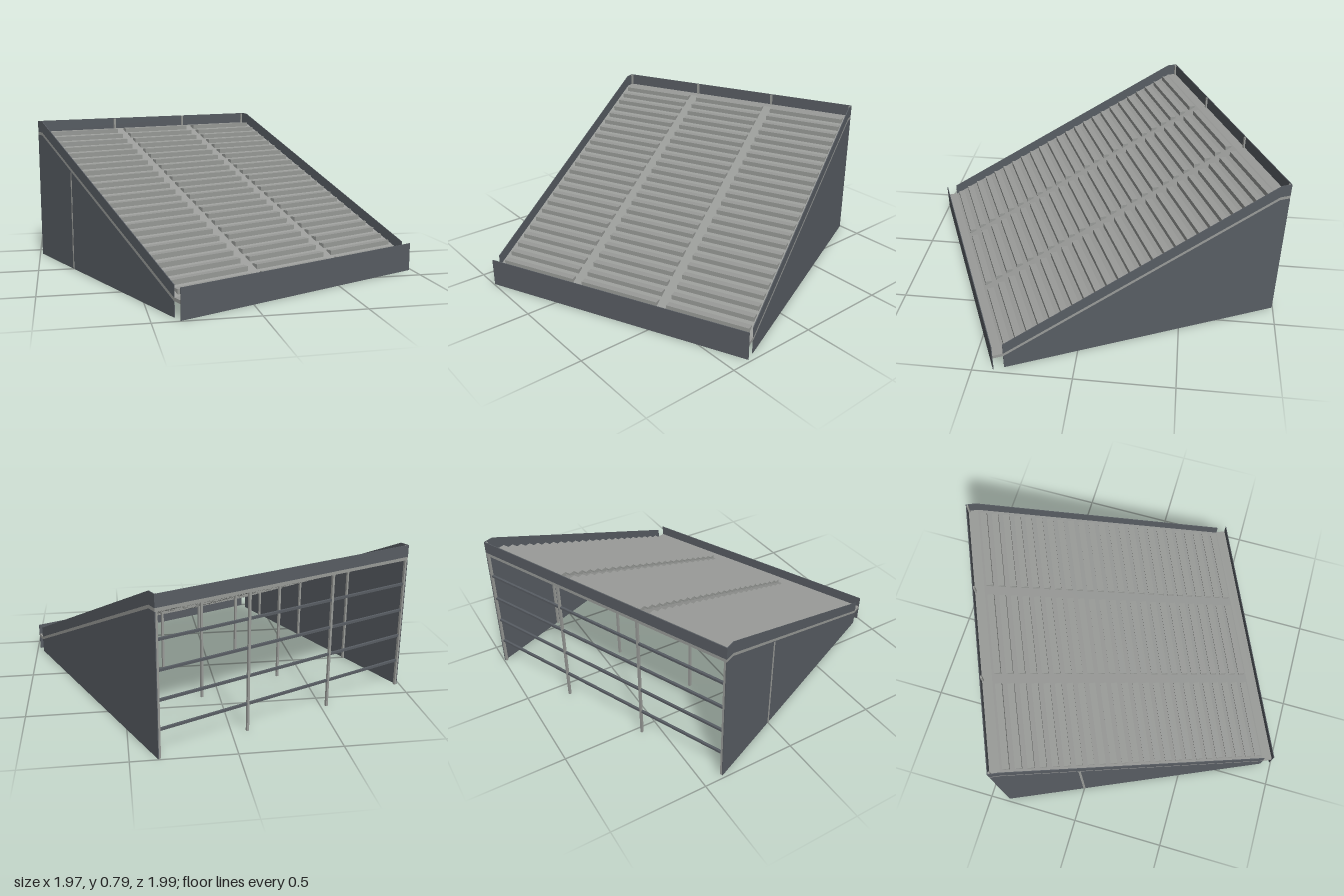
import * as THREE from 'three';

const W = 1.482, HALF = W / 2;     // width of the stand
const BACK = -0.761, FRONT = 0.761; // depth limits
const RAMP_B = -0.706, RAMP_F = 0.705; // sloped part of the deck
const LOW = 0.075, HIGH = 0.71;    // underside heights at the two ends of the slope
const SLAB = 0.017;
const AISLE = HALF / 3;            // aisles divide the width in three

const slopeY = z => LOW + (HIGH - LOW) * THREE.MathUtils.clamp((RAMP_F - z) / (RAMP_F - RAMP_B), 0, 1);

export function createModel() {
  const model = new THREE.Group();
  model.name = 'grandstand';
  const stand = new THREE.Group();
  stand.name = 'stand';
  stand.rotation.y = 0.417;
  model.add(stand);

  const mat = (name, color) => {
    const m = new THREE.MeshStandardMaterial({ color });
    m.name = name;
    return m;
  };
  const deckGrey = mat('deckGrey', 0x999b98);
  const panelGrey = mat('panelGrey', 0x585d63);

  const add = (name, geometry, material) => {
    const mesh = new THREE.Mesh(geometry, material);
    mesh.name = name;
    stand.add(mesh);
    return mesh;
  };
  const box = (name, w, h, d, x, y, z, material) =>
    add(name, new THREE.BoxGeometry(w, h, d), material).position.set(x, y, z);

  // side profile given as [z, y] points, extruded across x
  const profile = (name, points, width, x, material) => {
    const shape = new THREE.Shape(points.map(p => new THREE.Vector2(p[0], p[1])));
    const g = new THREE.ExtrudeGeometry(shape, { depth: width, bevelEnabled: false });
    g.rotateY(-Math.PI / 2);
    g.translate(x + width / 2, 0, 0);
    add(name, g, material);
  };

  // sloping deck with a flat landing at each end
  profile('deck', [
    [FRONT - 0.003, LOW], [FRONT - 0.003, LOW + SLAB], [RAMP_F, LOW + SLAB], [RAMP_B, HIGH + SLAB],
    [BACK, HIGH + SLAB], [BACK, HIGH], [RAMP_B, HIGH], [RAMP_F, LOW],
  ], W - 0.002, 0, deckGrey);

  // side walls and the parapets above them
  for (const s of [-1, 1]) {
    const x = s * (HALF - 0.002);
    profile('sideWall', [
      [RAMP_F, 0], [RAMP_F, LOW], [RAMP_B, HIGH], [BACK, HIGH], [BACK, 0],
    ], 0.004, x, panelGrey);
    profile('sideParapet', [
      [RAMP_F, LOW + SLAB], [RAMP_F, 0.15], [RAMP_B, 0.79], [BACK, 0.79],
      [BACK, HIGH + SLAB], [RAMP_B, HIGH + SLAB],
    ], 0.004, x, panelGrey);
  }

  // front and back panels
  box('frontPanel', W, 0.15, 0.004, 0, 0.075, FRONT - 0.002, panelGrey);
  box('backParapet', W, 0.79 - HIGH - SLAB, 0.004, 0, (0.79 + HIGH + SLAB) / 2, BACK + 0.002, panelGrey);

  // bench rows, three blocks per row
  const rows = 24, pitch = (RAMP_F - RAMP_B) / rows;
  const benchW = W / 3 - 0.055;
  for (let i = 0; i < rows; i++) {
    const z = RAMP_F - (i + 0.5) * pitch;
    const y = slopeY(z) + SLAB;
    for (const block of [-1, 0, 1]) {
      box('bench', benchW, 0.028, pitch * 0.58, block * W / 3, y + 0.003, z, deckGrey);
    }
  }

  // support posts in four lines
  const POST = 0.012;
  for (const x of [-HALF + 0.009, -AISLE, AISLE, HALF - 0.009]) {
    for (let i = 0; i < 4; i++) {
      const z = BACK + 0.007 + i * 0.426;
      const top = i === 0 ? 0.788 : slopeY(z + POST / 2) + 0.004;
      box('post', POST, top, POST, x, top / 2, z, deckGrey);
    }
  }
  // cover strip on the right wall
  const stripZ = BACK + 0.433, stripH = slopeY(stripZ) - 0.004;
  box('coverStrip', 0.003, stripH, POST, -HALF, stripH / 2, stripZ, deckGrey);

  // open back rails
  for (let i = 1; i <= 4; i++) {
    box('backRail', W - 0.008, 0.012, 0.012, 0, i * 0.145, BACK + 0.008, panelGrey);
  }

  return model;
}
